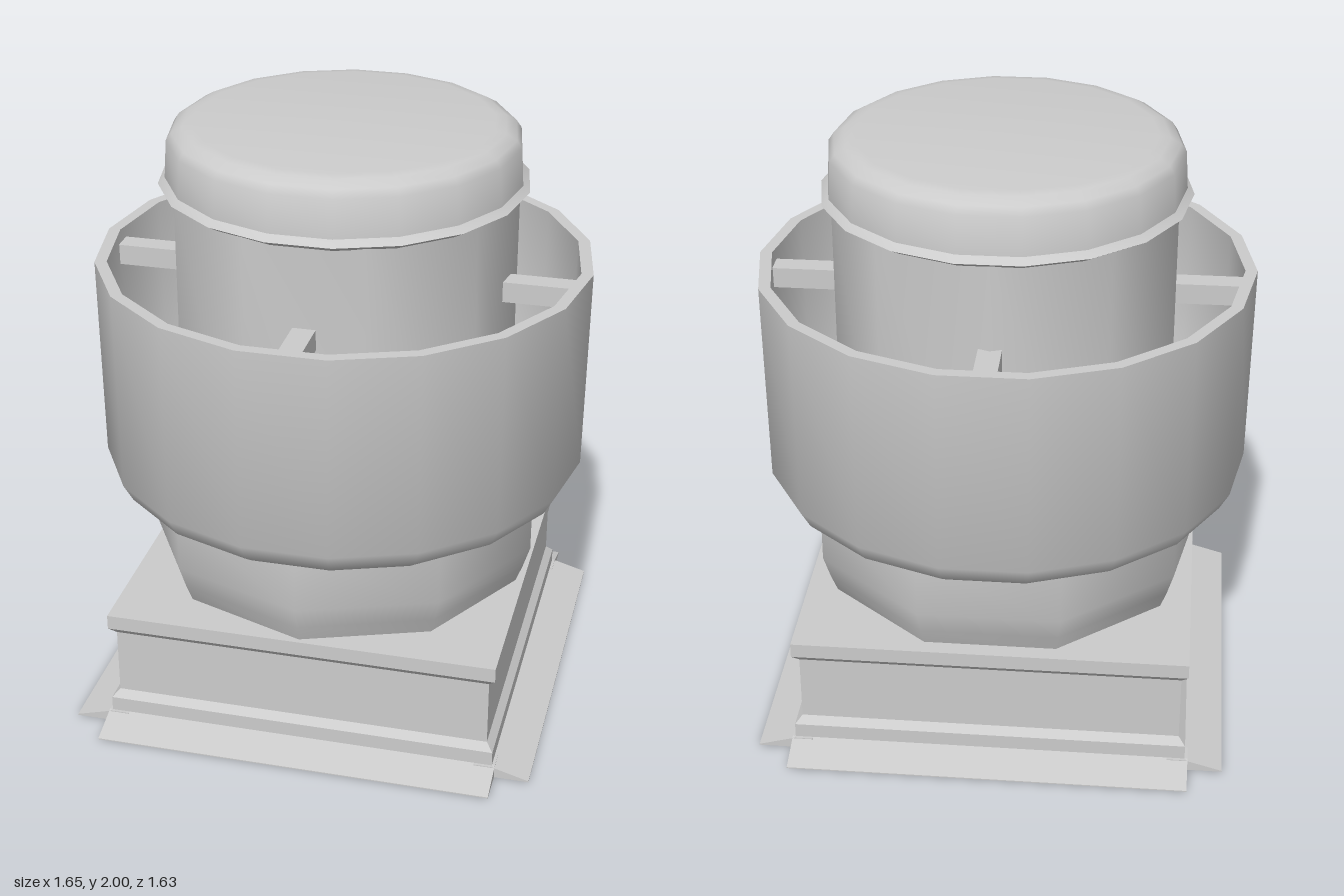
import * as THREE from 'three';
import { toCreasedNormals } from 'three/addons/utils/BufferGeometryUtils.js';

const material = new THREE.MeshStandardMaterial({ color: 0xcccccc });
const doubleSided = new THREE.MeshStandardMaterial({ color: 0xcccccc, side: THREE.DoubleSide });

export function createModel() {
  const group = new THREE.Group();

  function add(name, geometry, mat = material) {
    const mesh = new THREE.Mesh(geometry, mat);
    mesh.name = name;
    group.add(mesh);
    return mesh;
  }

  // Turned part: [radius, height] profile, edges sharper than the crease angle stay hard
  function turned(name, profile, sides, turn, crease, mat) {
    const points = profile.map(([r, y]) => new THREE.Vector2(r, y));
    const geometry = new THREE.LatheGeometry(points, sides).rotateY(turn);
    return add(name, toCreasedNormals(geometry, crease), mat);
  }

  // Square curb with moulded foot and overhanging top plate (half-widths)
  const curb = [
    [0, 0], [0.66, 0], [0.66, 0.09], [0.637, 0.115], [0.637, 0.345],
    [0.66, 0.37], [0.66, 0.42], [0, 0.42],
  ].map(([w, y]) => [w * Math.SQRT2, y]);
  turned('curb', curb, 4, Math.PI / 4, 0.1);

  // Sloping flange on each side, leaving notched corners
  const flangeShape = new THREE.Shape([
    new THREE.Vector2(0.6, 0.001), new THREE.Vector2(0.785, 0.001),
    new THREE.Vector2(0.785, 0.005), new THREE.Vector2(0.66, 0.04), new THREE.Vector2(0.6, 0.04),
  ]);
  for (let i = 0; i < 4; i++) {
    const geometry = new THREE.ExtrudeGeometry(flangeShape, { depth: 1.34, bevelEnabled: false });
    geometry.translate(0, 0, -0.67).rotateY(i * Math.PI / 2);
    add('flange', geometry);
  }

  // Nine-sided neck rising from the curb
  turned('neck', [[0.64, 0.415], [0.665, 0.48], [0.69, 0.56], [0.69, 0.76], [0.55, 0.76]],
    9, 0, 0.8, doubleSided);

  // Open wind band: outer bowl and wall, rim, then inner wall and floor
  turned('windBand', [
    [0.56, 0.735], [0.64, 0.738], [0.735, 0.755], [0.785, 0.79], [0.818, 0.85],
    [0.826, 1.54], [0.786, 1.54], [0.778, 0.87], [0.74, 0.81], [0.66, 0.78], [0.5, 0.77],
  ], 18, Math.PI / 2, 0.8, doubleSided);

  // Nine-sided motor housing
  turned('housing', [[0.57, 0.74], [0.57, 1.8]], 9, Math.PI, 0.8, doubleSided);

  // Cap with projecting lip and rounded shoulder
  turned('cap', [
    [0, 1.78], [0.565, 1.78], [0.608, 1.805], [0.585, 1.825], [0.577, 1.95],
    [0.56, 1.975], [0.525, 1.995], [0.49, 2], [0, 2],
  ], 18, Math.PI / 2, 0.7);

  // Four struts from housing to wind band
  for (let i = 0; i < 4; i++) {
    const strut = new THREE.BoxGeometry(0.26, 0.07, 0.075);
    strut.translate(0.65, 1.465, 0).rotateY(i * Math.PI / 2);
    add('strut', strut);
  }

  return group;
}
